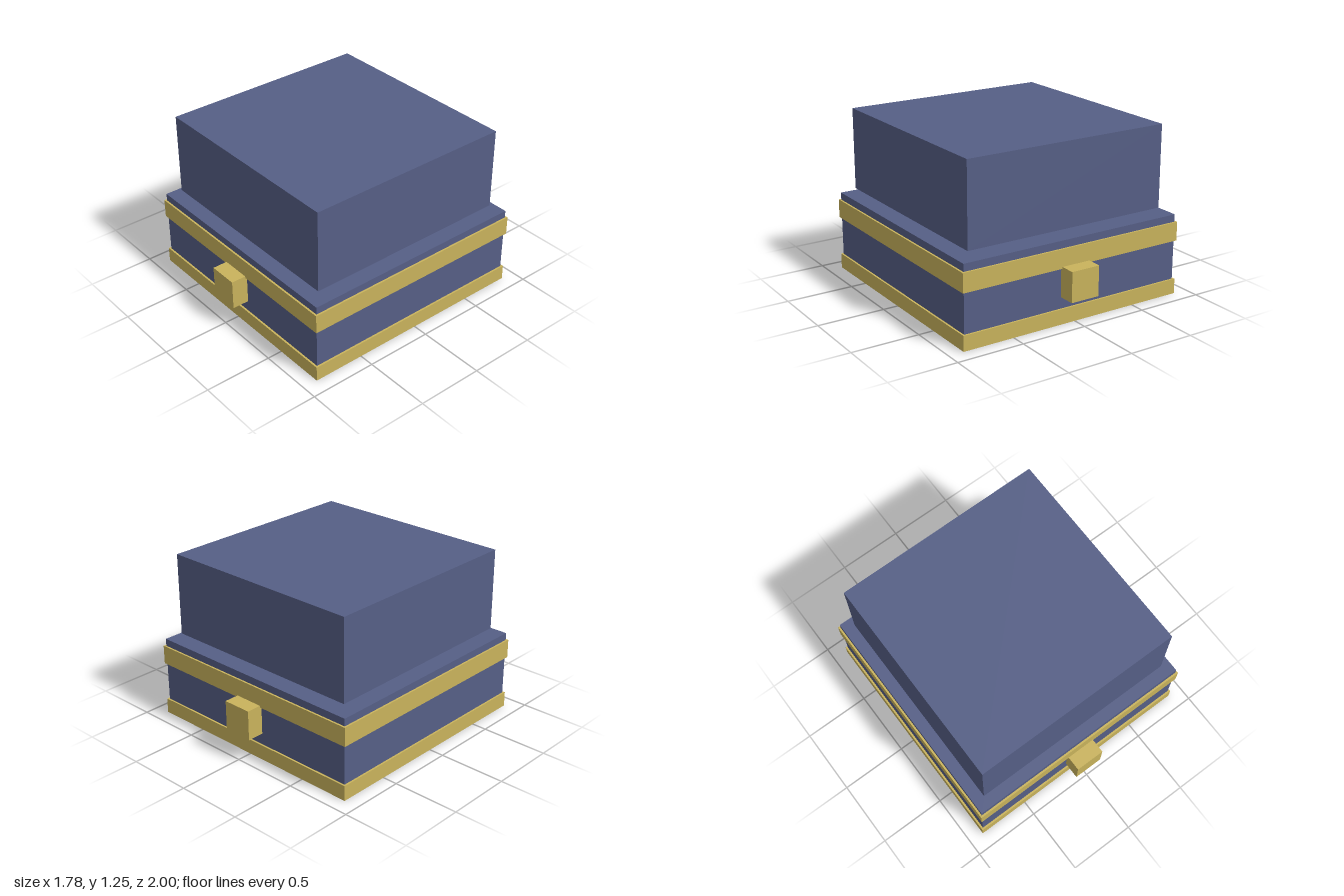
import * as THREE from 'three';

export function createModel() {
  const group = new THREE.Group();
  const blue = new THREE.MeshStandardMaterial({ color: 0x565f86 });
  blue.name = 'slate blue';
  const gold = new THREE.MeshStandardMaterial({ color: 0xc9b35c });
  gold.name = 'gold';

  // Box centred on x, spanning y0..y1, at depth position z
  function box(name, material, width, y0, y1, depth, z = 0) {
    const mesh = new THREE.Mesh(new THREE.BoxGeometry(width, y1 - y0, depth), material);
    mesh.name = name;
    mesh.position.set(0, (y0 + y1) / 2, z);
    group.add(mesh);
  }

  // Main body and the block hovering just above it
  box('body', blue, 1.75, 0.02, 0.6, 1.75);
  box('upperBlock', blue, 1.585, 0.642, 1.253, 1.585);

  // Trim bands around the body
  box('baseBand', gold, 1.778, 0, 0.112, 1.778);
  box('upperBand', gold, 1.778, 0.405, 0.545, 1.778);

  // Clasps at front and back
  for (const [name, side] of [['frontClasp', 1], ['backClasp', -1]]) {
    box(name, gold, 0.222, 0.196, 0.418, 0.222, side * 0.889);
  }

  return group;
}
